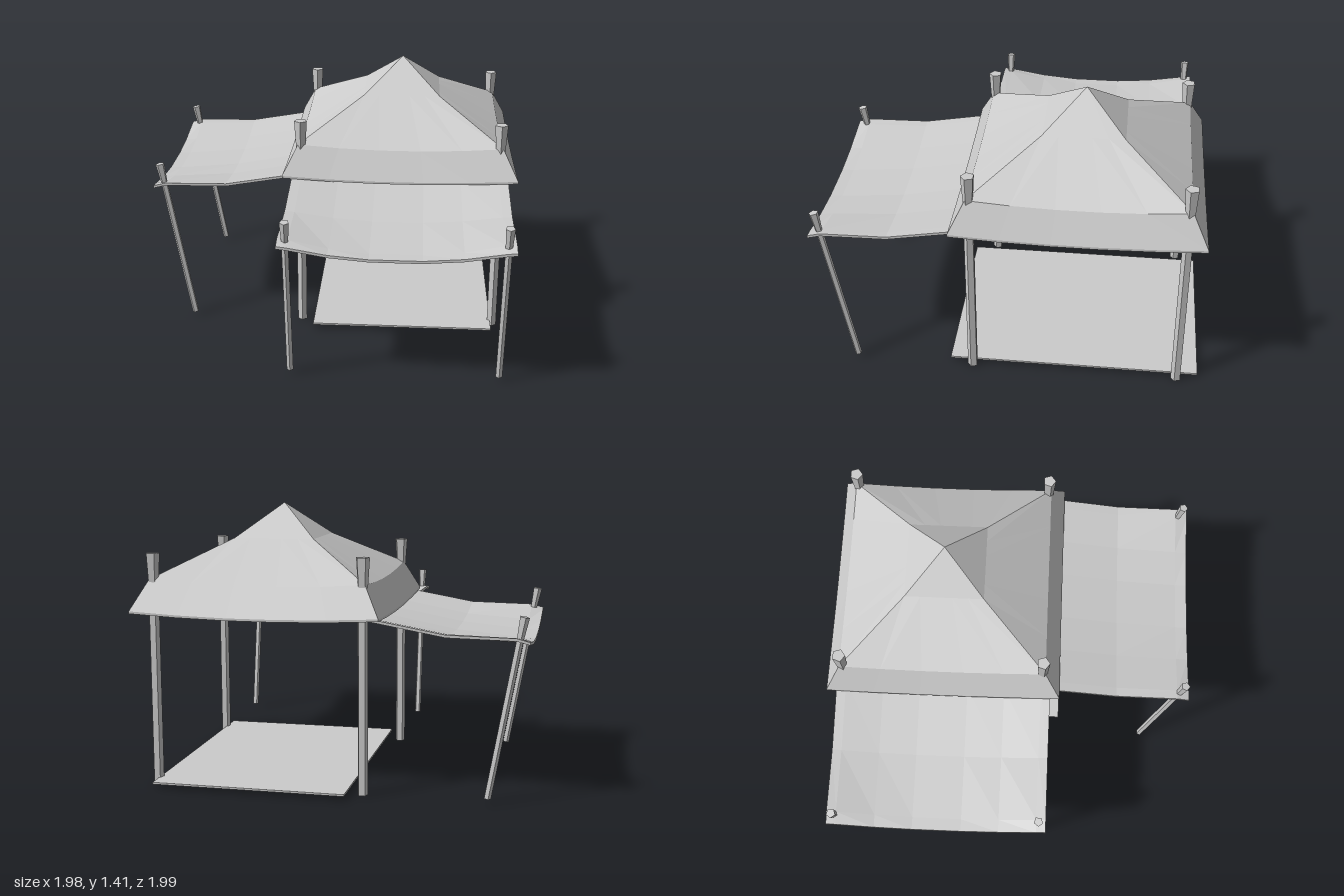
import * as THREE from 'three';

const material = new THREE.MeshStandardMaterial({ color: 0xcccccc, flatShading: true, side: THREE.DoubleSide });

function addMesh(parent, geometry, name) {
  const mesh = new THREE.Mesh(geometry, material);
  mesh.name = name;
  parent.add(mesh);
  return mesh;
}

// Thin cloth from strips of points: strips[i][j], i runs sideways, j runs outward
function clothGeometry(strips, thickness, closed = false) {
  const pos = [];
  const low = p => [p[0], p[1] - thickness, p[2]];
  const quad = (a, b, c, d) => pos.push(...a, ...b, ...c, ...a, ...c, ...d);
  const n = strips.length - 1, m = strips[0].length - 1;
  for (let i = 0; i < n; i++) {
    const s = strips[i], t = strips[i + 1];
    for (let j = 0; j < m; j++) {
      quad(s[j], s[j + 1], t[j + 1], t[j]);
      quad(low(s[j]), low(t[j]), low(t[j + 1]), low(s[j + 1]));
    }
    quad(s[m], low(s[m]), low(t[m]), t[m]);
    if (!closed) quad(t[0], low(t[0]), low(s[0]), s[0]);
  }
  if (!closed) {
    for (let j = 0; j < m; j++) {
      const s = strips[0], t = strips[n];
      quad(s[j], low(s[j]), low(s[j + 1]), s[j + 1]);
      quad(t[j + 1], low(t[j + 1]), low(t[j]), t[j]);
    }
  }
  const g = new THREE.BufferGeometry();
  g.setAttribute('position', new THREE.Float32BufferAttribute(pos, 3));
  g.computeVertexNormals();
  return g;
}

// Four-sided peaked roof with a flared, sagging skirt
function roofGeometry() {
  const profile = [[0, 1.41, 0], [0.21, 1.235, 0], [0.55, 1.05, 0.024], [0.63, 0.897, 0.02]]; // reach, height, sag
  const columns = [-1, -0.6, -0.2, 0.2, 0.6];
  const strips = [];
  for (let side = 0; side < 4; side++) {
    const c = Math.round(Math.cos(side * Math.PI / 2)), s = Math.round(Math.sin(side * Math.PI / 2));
    for (const u of columns) {
      strips.push(profile.map(([r, y, sag]) =>
        [r * (u * c + s), y - sag * (1 - u * u), r * (c - u * s)]));
    }
  }
  strips.push(strips[0]);
  return clothGeometry(strips, 0.012, true);
}

// Side awning hanging toward +z, its corners drooping past the poles
function awningGeometry() {
  const columns = [[-0.58, 0], [-0.53, 0.1], [-0.33, 0.7], [-0.13, 1], [0.13, 1], [0.33, 0.7], [0.53, 0.1], [0.58, 0]];
  const rows = [[0.57, 0.89, 0.04], [0.945, 0.825, 0.045], [1.28, 0.82, 0.07], [1.345, 0.803, 0.055]];
  return clothGeometry(columns.map(([x, f]) => rows.map(([z, y, sag]) => [x, y - sag * f, z])), 0.014);
}

// Five-sided post with a flared cap, running from base to top
function addPost(parent, name, base, top, radius, capLength, capRadius) {
  const group = new THREE.Group();
  group.name = name;
  const dir = top.clone().sub(base), length = dir.length();
  group.position.copy(base);
  group.quaternion.setFromUnitVectors(new THREE.Vector3(0, 1, 0), dir.normalize());
  const shaft = length - capLength;
  addMesh(group, new THREE.CylinderGeometry(radius, radius, shaft, 5), 'shaft').position.y = shaft / 2;
  addMesh(group, new THREE.CylinderGeometry(capRadius, radius, capLength, 5), 'cap').position.y = length - capLength / 2;
  parent.add(group);
}

export function createModel() {
  const model = new THREE.Group();
  model.name = 'canopyTent';
  const tent = new THREE.Group();
  tent.name = 'tent';
  tent.position.set(0.355, 0, -0.355);
  model.add(tent);

  addMesh(tent, roofGeometry(), 'roof');

  // Corner posts
  for (const x of [-0.535, 0.535]) {
    for (const z of [-0.535, 0.535]) {
      addPost(tent, 'cornerPost', new THREE.Vector3(x, 0, z), new THREE.Vector3(x, 1.18, z), 0.027, 0.14, 0.036);
    }
  }

  // Front and right awnings with leaning poles
  for (const [name, turn] of [['frontAwning', 0], ['rightAwning', -Math.PI / 2]]) {
    const awning = new THREE.Group();
    awning.name = name;
    awning.rotation.y = turn;
    addMesh(awning, awningGeometry(), 'awningCloth');
    for (const x of [-0.54, 0.54]) {
      addPost(awning, 'awningPole', new THREE.Vector3(x, 0.023, 1.152), new THREE.Vector3(x, 0.917, 1.312), 0.018, 0.11, 0.025);
    }
    tent.add(awning);
  }

  // Ground mat
  addMesh(model, new THREE.BoxGeometry(0.99, 0.01, 1.3), 'groundMat').position.set(0.385, 0.025, -0.35);

  return model;
}
